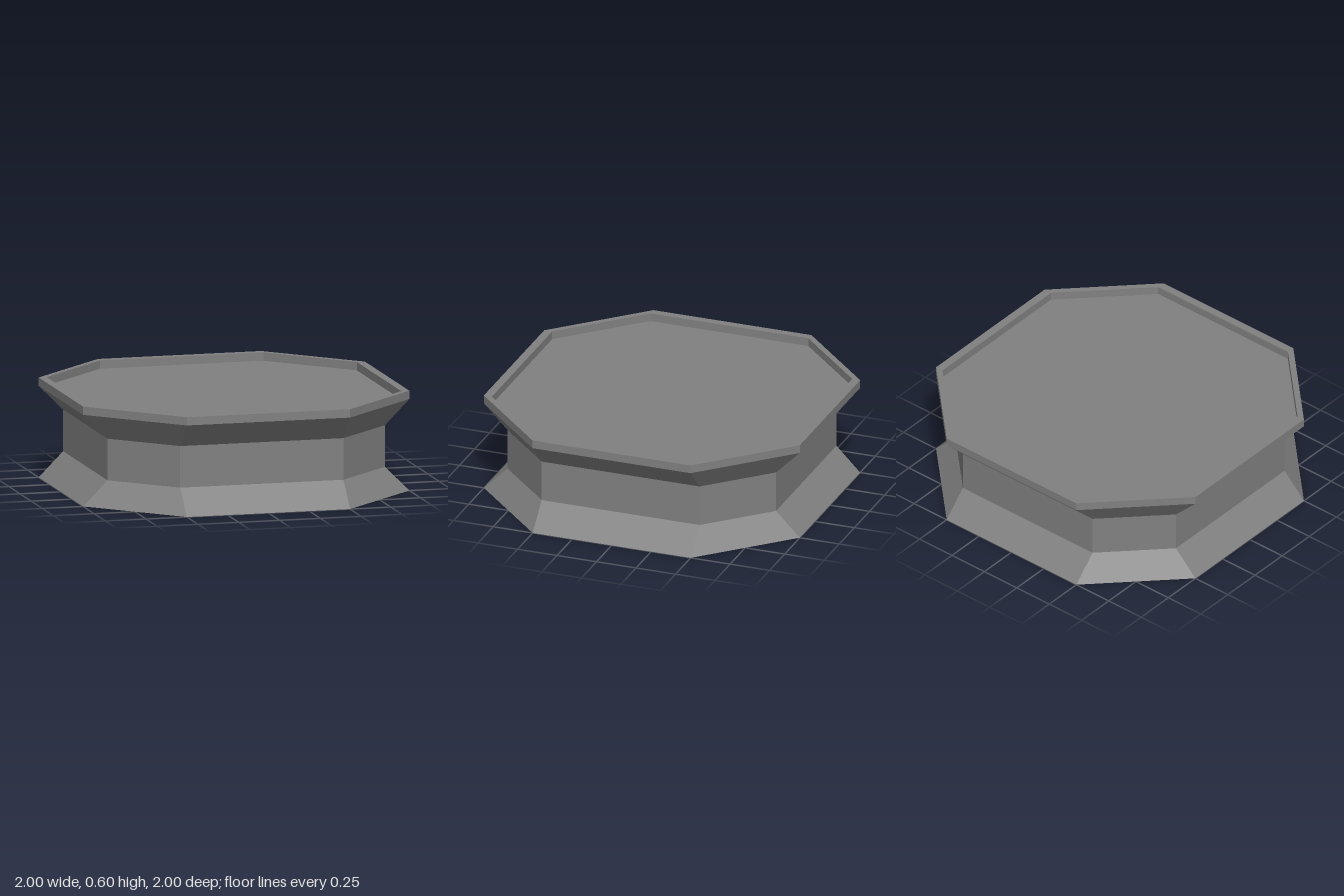
import * as THREE from 'three';

const material = new THREE.MeshStandardMaterial({
  color: 0x808080, flatShading: true, side: THREE.DoubleSide,
});

// Octagon reaching r along each axis; its corners always lie 0.5 along each main side
const octagon = (r) => [
  [-0.5, r], [0.5, r], [r, 0.5], [r, -0.5],
  [0.5, -r], [-0.5, -r], [-r, -0.5], [-r, 0.5],
];

// Eight-sided band joining successive [reach, height] rings
function band(name, profile) {
  const positions = [];
  for (let k = 0; k < profile.length - 1; k++) {
    const [[r0, y0], [r1, y1]] = [profile[k], profile[k + 1]];
    const low = octagon(r0), high = octagon(r1);
    for (let i = 0; i < 8; i++) {
      const j = (i + 1) % 8;
      const a = [low[i][0], y0, low[i][1]], b = [low[j][0], y0, low[j][1]];
      const c = [high[j][0], y1, high[j][1]], d = [high[i][0], y1, high[i][1]];
      positions.push(...a, ...b, ...c, ...a, ...c, ...d);
    }
  }
  const geometry = new THREE.BufferGeometry();
  geometry.setAttribute('position', new THREE.Float32BufferAttribute(positions, 3));
  geometry.computeVertexNormals();
  const mesh = new THREE.Mesh(geometry, material);
  mesh.name = name;
  return mesh;
}

export function createModel() {
  const group = new THREE.Group();
  group.name = 'octagonalPlatform';

  // Open-bottomed shell: flared foot, straight waist, flared top and raised lip
  group.add(
    band('flaredFoot', [[1, 0], [0.85, 0.15]]),
    band('waistWall', [[0.85, 0.15], [0.85, 0.4]]),
    band('flaredTop', [[0.85, 0.4], [1, 0.55]]),
    band('raisedLip', [[1, 0.55], [1, 0.6], [0.95, 0.6], [0.95, 0.55]]),
  );

  // Deck sunk inside the lip
  const outline = new THREE.Shape(octagon(0.95).map(([x, z]) => new THREE.Vector2(x, -z)));
  const deck = new THREE.Mesh(new THREE.ShapeGeometry(outline).rotateX(-Math.PI / 2), material);
  deck.name = 'deck';
  deck.position.y = 0.55;
  group.add(deck);

  return group;
}
